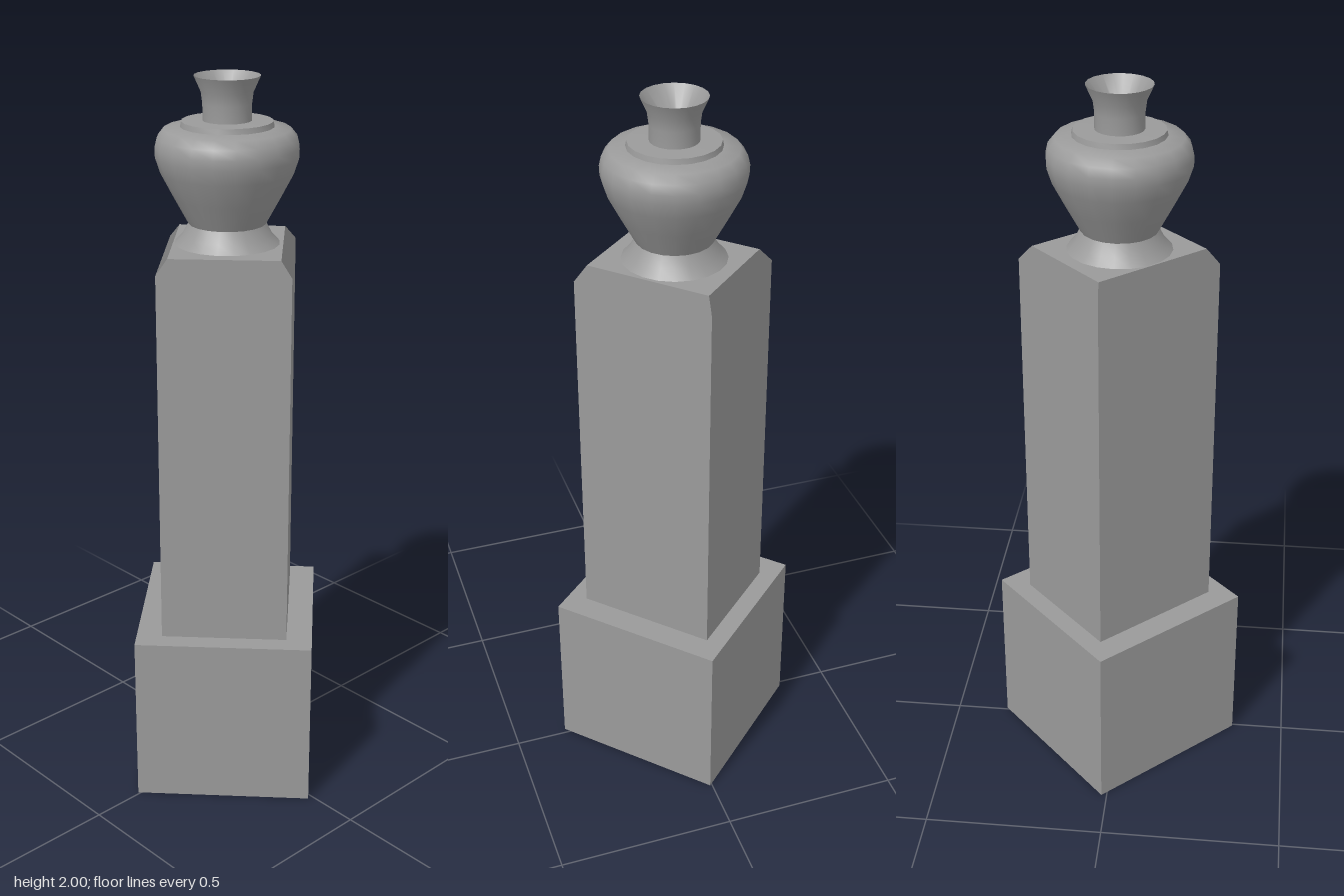
import * as THREE from 'three';
import { toCreasedNormals } from 'three/addons/utils/BufferGeometryUtils.js';

const BASE_TOP = 0.487, CHAMFER = 1.528, SHAFT_TOP = 1.567;

export function createModel() {
  const group = new THREE.Group();
  const stone = new THREE.MeshStandardMaterial({ color: 0x9a9a9a, side: THREE.DoubleSide });
  const add = (name, geometry, parent) => {
    const mesh = new THREE.Mesh(geometry, stone);
    mesh.name = name;
    parent.add(mesh);
    return mesh;
  };

  // A box without its underside
  const openBox = (width, depth, rows) => {
    const box = new THREE.BoxGeometry(width, 2, depth, 1, rows, 1);
    const { start, count } = box.groups[3];
    box.setIndex([...box.index.array].filter((_, i) => i < start || i >= start + count));
    box.clearGroups();
    return box;
  };

  // Pillar: hollow blocks turned so that a corner faces the front
  const pillar = new THREE.Group();
  pillar.name = 'pillar';
  pillar.rotation.y = 0.755;
  group.add(pillar);

  const base = openBox(0.502, 0.489, 1);
  base.translate(0, 1, 0).scale(1, BASE_TOP / 2, 1);
  add('base', base, pillar);

  // Shaft: the middle row rises to the chamfer and the top row is drawn in;
  // the chamfer keeps the normals of the walls, so they blend
  const shaft = openBox(0.395, 0.347, 2);
  const p = shaft.attributes.position;
  for (let i = 0; i < p.count; i++) {
    const y = p.getY(i);
    if (y > 0.5) p.setXYZ(i, p.getX(i) * 0.883, SHAFT_TOP, p.getZ(i) * 0.835);
    else p.setY(i, y < -0.5 ? BASE_TOP : CHAMFER);
  }
  add('shaft', shaft, pillar);

  // Urn: foot, belly, collar, flared neck and the hollow inside it
  const profile = [
    [0.141, 1.565], [0.118, 1.59], [0.102, 1.62],
    [0.14, 1.69], [0.174, 1.755], [0.187, 1.795], [0.188, 1.82],
    [0.182, 1.845], [0.165, 1.866],
    [0.122, 1.872], [0.119, 1.886], [0.064, 1.887],
    [0.064, 1.93], [0.068, 1.96], [0.086, 2],
    [0.03, 1.925], [0, 1.925],
  ].map(([r, y]) => new THREE.Vector2(r, y));
  const urn = toCreasedNormals(new THREE.LatheGeometry(profile, 20), 0.9);
  add('urn', urn, group).position.set(-0.002, 0, -0.002);

  return group;
}
